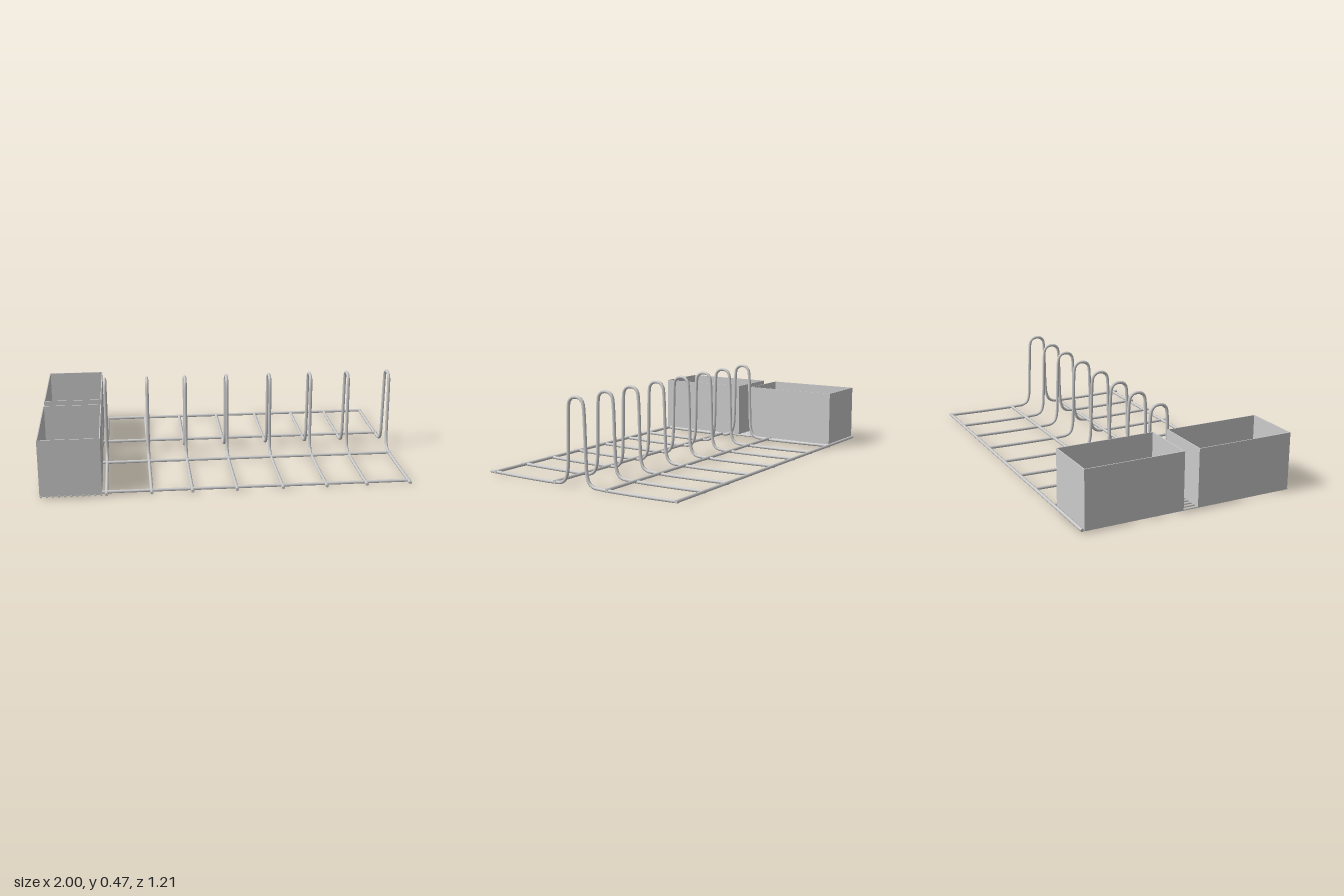
import * as THREE from 'three';

const metal = new THREE.MeshStandardMaterial({ color: 0xcccccc });
const sheet = new THREE.MeshStandardMaterial({ color: 0xcccccc, side: THREE.DoubleSide });

export function createModel() {
  const model = new THREE.Group();

  const add = (name, geometry, material, x, y, z, parent = model) => {
    const mesh = new THREE.Mesh(geometry, material);
    mesh.name = name;
    mesh.position.set(x, y, z);
    parent.add(mesh);
    return mesh;
  };

  // Long rails running side to side
  const railGeometry = new THREE.CylinderGeometry(0.009, 0.009, 1.99, 8).rotateZ(Math.PI / 2);
  for (const z of [0.57, 0.155, -0.183, -0.598]) add('longRail', railGeometry, metal, 0, 0.015, z);

  // Bent divider wires, each rising into a narrow hoop
  const path = new THREE.CatmullRomCurve3([
    [0.604, 0.014], [0.35, 0.01], [0.16, 0.011], [0.115, 0.015], [0.088, 0.033], [0.072, 0.075],
    [0.066, 0.15], [0.058, 0.42], [0.052, 0.442], [0.033, 0.459], [0.01, 0.463],
    [-0.014, 0.459], [-0.032, 0.442], [-0.038, 0.42], [-0.049, 0.15], [-0.054, 0.075],
    [-0.068, 0.033], [-0.095, 0.015], [-0.14, 0.011], [-0.35, 0.01], [-0.604, 0.014],
  ].map(([z, y]) => new THREE.Vector3(0, y, z)));
  const wireGeometry = new THREE.TubeGeometry(path, 120, 0.009, 8);
  const capGeometry = new THREE.CircleGeometry(0.009, 8);
  for (const x of [-0.65, -0.412, -0.195, 0.043, 0.291, 0.528, 0.747, 0.985]) {
    const divider = new THREE.Group();
    divider.name = 'hoopDivider';
    divider.position.x = x;
    add('hoopWire', wireGeometry, metal, 0, 0, 0, divider);
    add('frontCap', capGeometry, metal, 0, 0.014, 0.604, divider);
    add('backCap', capGeometry, metal, 0, 0.014, -0.604, divider).rotation.y = Math.PI;
    model.add(divider);
  }

  // Fine floor wires beneath the baskets
  const floorGeometry = new THREE.CylinderGeometry(0.006, 0.006, 1.19, 6).rotateX(Math.PI / 2);
  for (let i = 0; i < 11; i++) add('basketFloorWire', floorGeometry, metal, -0.992 + i * 0.0314, 0.012, 0.008);

  // Two open baskets with thin walls and no solid floor
  const x0 = -1, x1 = -0.674, bottom = 0.012, top = 0.328, t = 0.005;
  const outline = (z0, z1) => {
    const shape = new THREE.Shape([[x0, z0], [x1, z0], [x1, z1], [x0, z1]]
      .map(([x, z]) => new THREE.Vector2(x, -z)));
    shape.holes.push(new THREE.Path([[x0 + t, z0 + t], [x0 + t, z1 - t], [x1 - t, z1 - t], [x1 - t, z0 + t]]
      .map(([x, z]) => new THREE.Vector2(x, -z))));
    return new THREE.ExtrudeGeometry(shape, { depth: top - bottom, bevelEnabled: false }).rotateX(-Math.PI / 2);
  };
  add('frontBasket', outline(0.047, 0.598), sheet, 0, bottom, 0);
  add('backBasket', outline(-0.588, -0.037), sheet, 0, bottom, 0);

  return model;
}
